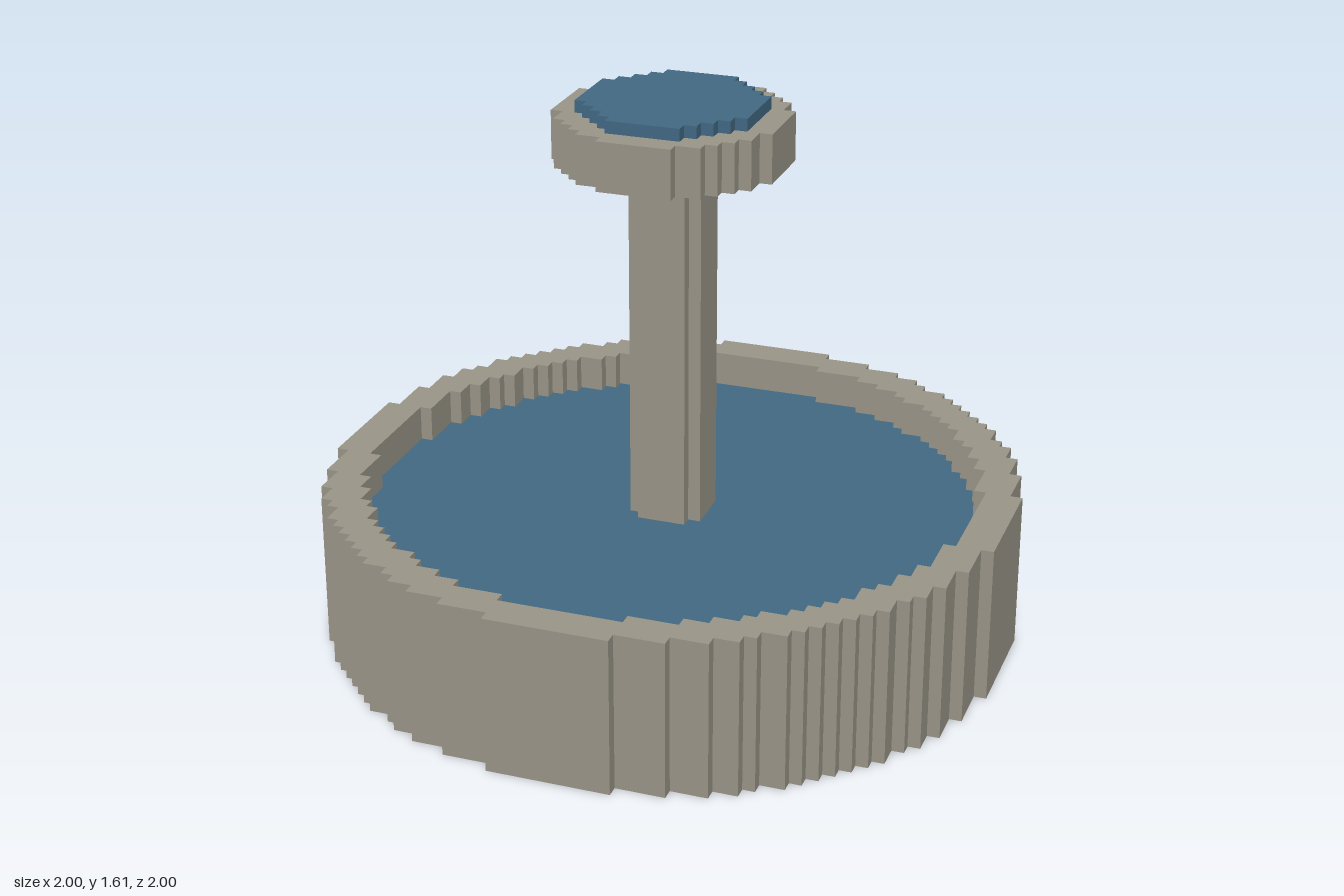
import * as THREE from 'three';

const UNIT = 2 / 56; // edge of one block; the basin is 56 blocks across

const stone = new THREE.MeshStandardMaterial({ color: 0x9c978a });
stone.name = 'warm grey stone';
const blue = new THREE.MeshStandardMaterial({ color: 0x426a84 });
blue.name = 'water blue';

// Stepped outline of a disc made of square blocks, radius in blocks
function discOutline(radius) {
  const right = [];
  for (let row = -radius; row < radius; row++) {
    const reach = Math.sqrt(radius * radius - (row + 0.5) ** 2);
    const half = Math.floor(reach + 0.5);
    const last = right[right.length - 1];
    if (last && last[0] === half) last[1] = row + 1;
    else right.push([half, row], [half, row + 1]);
  }
  const left = right.map(([x, y]) => [-x, y]).reverse();
  return [...right, ...left].map(([x, y]) => new THREE.Vector2(x * UNIT, y * UNIT));
}

// Upright block disc between two heights, or a ring if a hole radius is given
function blockDisc(name, material, radius, bottom, top, holeRadius = 0) {
  const shape = new THREE.Shape(discOutline(radius));
  if (holeRadius) shape.holes.push(new THREE.Path(discOutline(holeRadius)));
  const geometry = new THREE.ExtrudeGeometry(shape, {
    depth: (top - bottom) * UNIT,
    bevelEnabled: false,
  });
  geometry.rotateX(-Math.PI / 2);
  geometry.translate(0, bottom * UNIT, 0);
  const mesh = new THREE.Mesh(geometry, material);
  mesh.name = name;
  return mesh;
}

export function createModel() {
  const fountain = new THREE.Group();
  fountain.name = 'fountain';
  fountain.add(
    // Lower basin
    blockDisc('basinWall', stone, 28, 0, 13, 25),
    blockDisc('basinFloor', stone, 25, 0, 9),
    blockDisc('basinWater', blue, 25, 9, 10),
    // Column and upper bowl
    blockDisc('column', stone, 3, 10, 40),
    blockDisc('upperBowl', stone, 9, 40, 44),
    blockDisc('upperWater', blue, 7, 44, 45),
  );
  return fountain;
}
